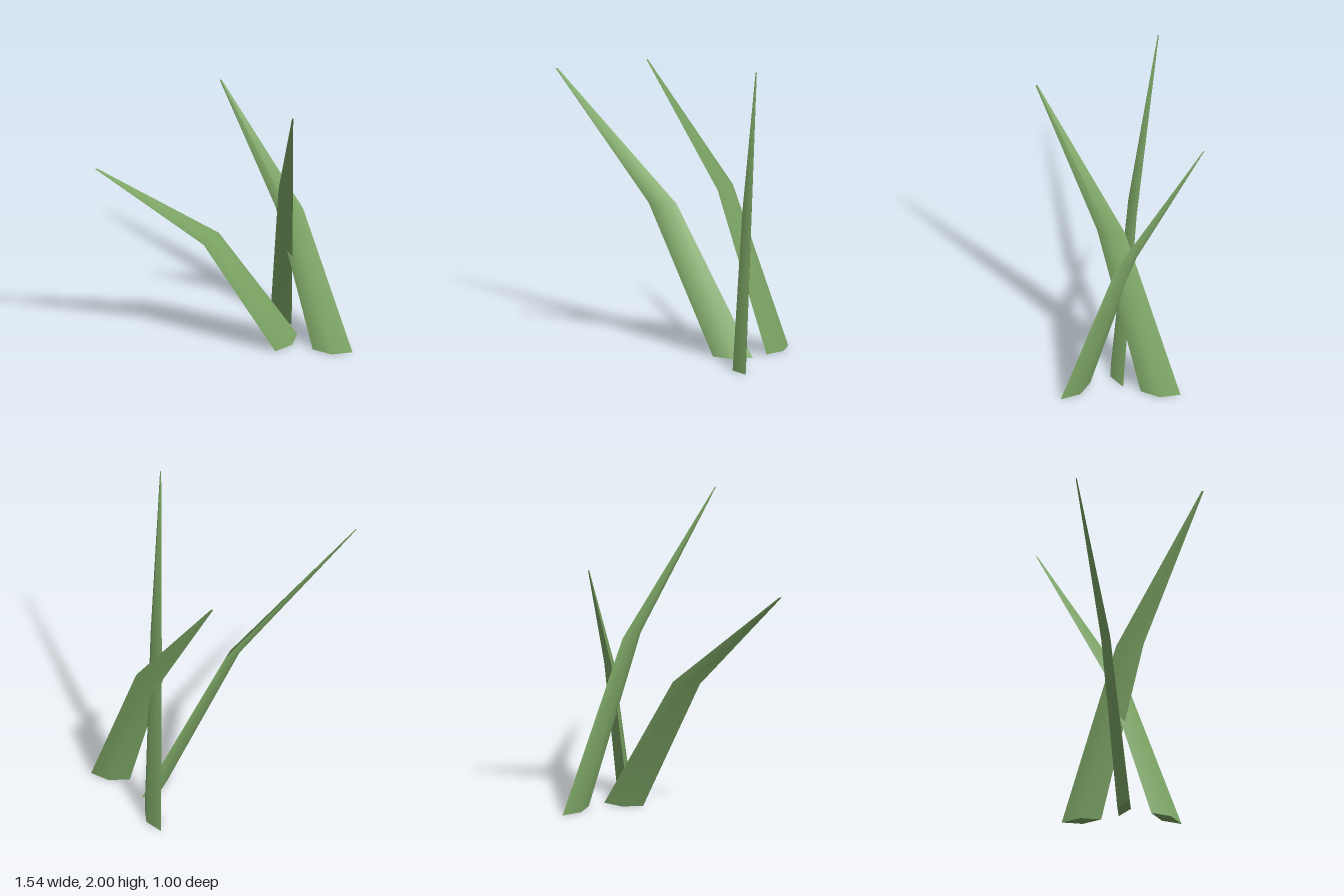
import * as THREE from 'three';
import { toCreasedNormals } from 'three/addons/utils/BufferGeometryUtils.js';

// Half width and half thickness of the diamond section at root, bend and tip
const SECTIONS = [[0.125, 0.044], [0.087, 0.031], [0.007, 0.004]];

// Blade lofted through horizontal diamond sections; (ux, uz) is its width direction
function bladeGeometry(path, [ux, uz]) {
  const positions = [], index = [];
  path.forEach(([x, y, z], i) => {
    const [w, t] = SECTIONS[i];
    for (const [a, b] of [[w, 0], [0, t], [-w, 0], [0, -t]]) {
      positions.push(x + a * ux - b * uz, y, z + a * uz + b * ux);
    }
  });
  for (let r = 0; r < path.length - 1; r++) {
    for (let k = 0; k < 4; k++) {
      const a = r * 4 + k, b = r * 4 + (k + 1) % 4;
      index.push(a, a + 4, b, b, a + 4, b + 4);
    }
  }
  // Closed root and tip
  const e = (path.length - 1) * 4;
  index.push(0, 1, 2, 0, 2, 3, e, e + 2, e + 1, e, e + 3, e + 2);
  const g = new THREE.BufferGeometry();
  g.setAttribute('position', new THREE.Float32BufferAttribute(positions, 3));
  g.setIndex(index);
  return toCreasedNormals(g, Math.PI / 3);
}

export function createModel() {
  const group = new THREE.Group();
  group.name = 'grassTuft';
  const grass = new THREE.MeshStandardMaterial({ color: 0x80aa68 });
  grass.name = 'grassGreen';

  const blades = [
    ['leaningBlade', [[0.51, 0, 0.05], [0.005, 0.91, -0.117], [-0.76, 1.65, -0.385]], [0.986, -0.165]],
    ['tallBlade', [[0.727, 0, -0.193], [0.47, 1.1, 0.082], [0.087, 2, 0.496]], [-0.28, 0.96]],
    ['backwardBlade', [[0.634, 0, 0.328], [0.588, 0.93, 0.003], [0.5, 1.69, -0.495]], [0.57, 0.82]],
  ];
  for (const [name, path, dir] of blades) {
    const mesh = new THREE.Mesh(bladeGeometry(path, dir), grass);
    mesh.name = name;
    group.add(mesh);
  }
  return group;
}
